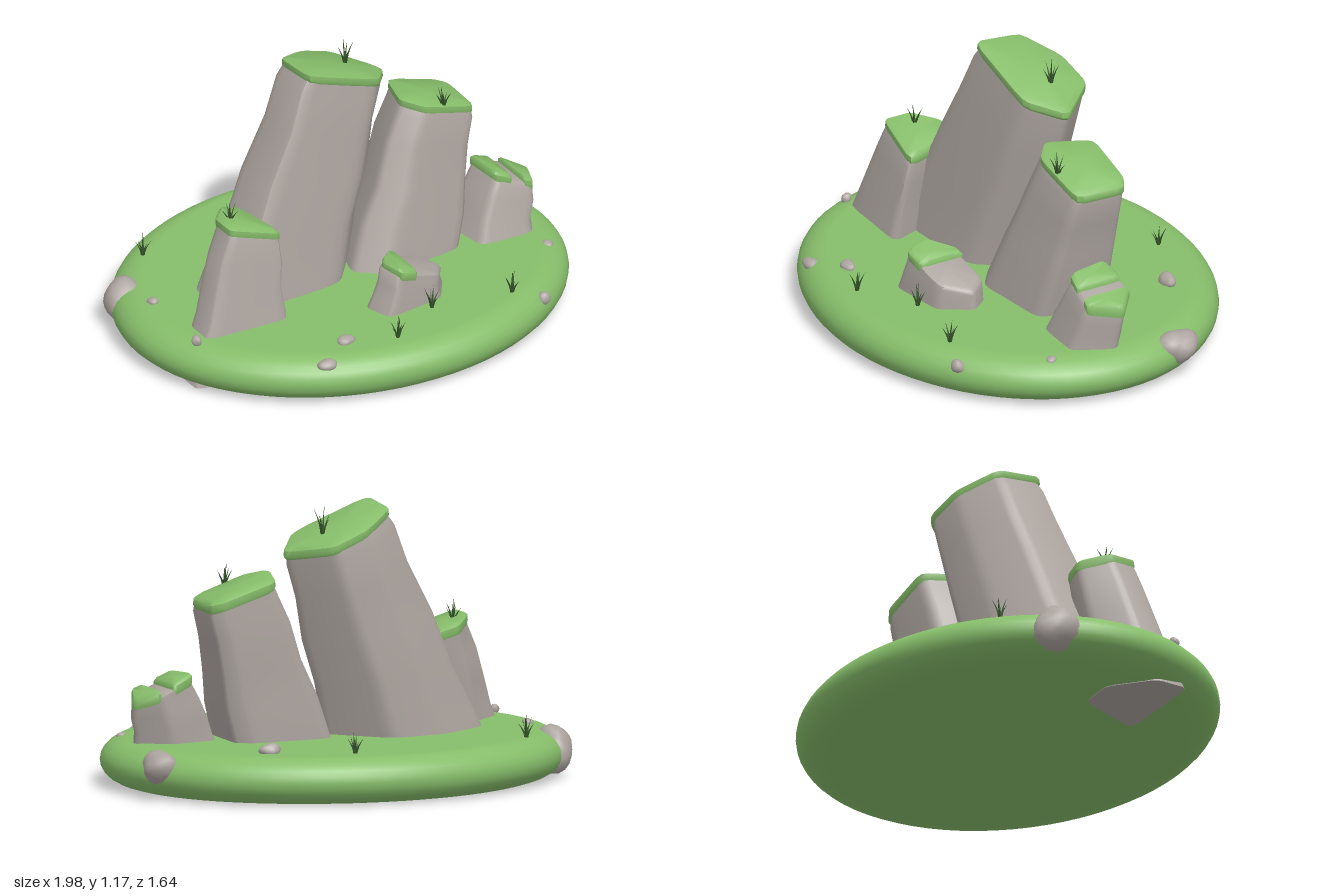
import * as THREE from 'three';
import { mergeVertices, mergeGeometries, toCreasedNormals } from 'three/addons/utils/BufferGeometryUtils.js';

const grass = new THREE.MeshStandardMaterial({ color: 0x86bd6a });
grass.name = 'grassGreen';
const stone = new THREE.MeshStandardMaterial({ color: 0xaca49f });
stone.name = 'stoneGrey';
const blade = new THREE.MeshStandardMaterial({ color: 0x35562a });
blade.name = 'bladeGreen';

const centerOf = (pts) => pts.reduce((s, p) => s.add(p), new THREE.Vector3()).divideScalar(pts.length);

// Replace every corner of a closed outline with a short curve
function roundOutline(points, cut, steps) {
  const n = points.length;
  return points.flatMap((p, i) => {
    const a = p.clone().lerp(points[(i + n - 1) % n], cut);
    const b = p.clone().lerp(points[(i + 1) % n], cut);
    return new THREE.QuadraticBezierCurve3(a, p, b).getPoints(steps);
  });
}

// Keep the part of an outline where side * (x - limit) is not negative
function clipOutline(points, limit, side) {
  return points.flatMap((p, i) => {
    const q = points[(i + 1) % points.length];
    const dp = side * (p.x - limit), dq = side * (q.x - limit);
    const kept = dp >= 0 ? [p.clone()] : [];
    if (dp * dq < 0) kept.push(p.clone().lerp(q, dp / (dp - dq)));
    return kept;
  });
}

// Skin closed rings (counter-clockwise from above, bottom to top) and close both ends
function loft(rings, crease) {
  const n = rings[0].length, last = (rings.length - 1) * n, end = rings.length * n;
  const points = [...rings.flat(), centerOf(rings[0]), centerOf(rings[rings.length - 1])];
  const idx = [];
  for (let i = 0; i < n; i++) {
    const j = (i + 1) % n;
    for (let k = 0; k < last; k += n) {
      idx.push(k + i, k + j, k + j + n, k + i, k + j + n, k + i + n);
    }
    idx.push(end, j, i, end + 1, last + i, last + j);
  }
  const g = new THREE.BufferGeometry().setFromPoints(points);
  g.setIndex(idx);
  return toCreasedNormals(g, crease);
}

// Leaning rock: the top outline is widened and shifted to give the foot
function rockGeometry(outline, foot, spread, baseY) {
  const top = roundOutline(outline, 0.16, 3);
  const mid = centerOf(top), corner = centerOf(outline);
  const base = roundOutline(outline.map((p) => new THREE.Vector3(
    foot[0] + (p.x - corner.x) * spread[0], baseY, foot[1] + (p.z - corner.z) * spread[1])), 0.16, 3);
  const rings = [0, 0.2, 0.4, 0.6, 0.8, 0.95].map((t, k) => base.map((p, i) => {
    const q = p.clone().lerp(top[i], t);
    const bulge = k ? 0.006 * Math.sin(k * 2.3 + q.x * 5) : 0;
    return q.add(new THREE.Vector3(bulge, 0, bulge * 0.6));
  }));
  rings.push(top.map((p) => p.clone().lerp(mid, 0.03)));
  rings.push(top.map((p) => p.clone().lerp(mid, 0.14).add(new THREE.Vector3(0, 0.006, 0))));
  return loft(rings, 0.7);
}

// Turf slab lying on the sloped top of a rock
function turfGeometry(outline) {
  const pts = roundOutline(outline, 0.15, 2), mid = centerOf(pts);
  const ring = ([scale, lift]) => pts.map((p) => p.clone().sub(mid).multiplyScalar(scale).add(mid)
    .add(new THREE.Vector3(0, lift, 0)));
  return loft([[0.98, -0.022], [1.02, -0.008], [1.01, 0.016], [0.88, 0.028]].map(ring), 0.8);
}

// Rounded, slightly lumpy pebble
function pebbleGeometry(rx, ry, rz, seed) {
  let g = new THREE.IcosahedronGeometry(1, 2);
  g.deleteAttribute('normal');
  g.deleteAttribute('uv');
  g = mergeVertices(g, 1e-3);
  const p = g.attributes.position, v = new THREE.Vector3();
  for (let i = 0; i < p.count; i++) {
    v.fromBufferAttribute(p, i);
    v.multiplyScalar(1 + 0.1 * Math.sin(3 * v.x + seed) + 0.1 * Math.sin(3.4 * v.z + 2 * v.y + seed * 2));
    p.setXYZ(i, v.x * rx, v.y * ry, v.z * rz);
  }
  g.computeVertexNormals();
  return g;
}

// Tuft of bent, tapering blades
function tuftGeometry(height, seed) {
  const blades = [];
  for (let i = 0; i < 6; i++) {
    const h = height * (i === 0 ? 1 : 0.62 + 0.12 * ((i * 2 + seed) % 3));
    const g = new THREE.ConeGeometry(0.0075, h, 4, 4).translate(0, h / 2, 0);
    const p = g.attributes.position, reach = i === 0 ? 0.01 : 0.036;
    for (let k = 0; k < p.count; k++) {
      const t = p.getY(k) / h;
      p.setX(k, p.getX(k) + reach * (0.4 * t + 0.6 * t * t));
    }
    g.rotateY(i * 1.2566 + seed);
    g.computeVertexNormals();
    blades.push(g);
  }
  return mergeGeometries(blades);
}

export function createModel() {
  const model = new THREE.Group();
  model.name = 'rockyOutcrop';
  const add = (name, geometry, material, x = 0, y = 0, z = 0) => {
    const m = new THREE.Mesh(geometry, material);
    m.name = name;
    m.position.set(x, y, z);
    model.add(m);
  };

  // Oval grassy mound with a rounded rim
  const rim = Array.from({ length: 13 }, (_, i) => {
    const a = (i / 12 - 0.5) * Math.PI;
    return new THREE.Vector2(0.85 + 0.14 * Math.cos(a), 0.1015 + 0.0985 * Math.sin(a));
  });
  const profile = [new THREE.Vector2(0, 0.003), ...rim, new THREE.Vector2(0, 0.2)];
  add('grassMound', new THREE.LatheGeometry(profile, 72).scale(1, 1, 0.83), grass);

  // Leaning rocks: top outline (x, z), top height and slopes, foot centre and spread
  const addRock = (name, top, [height, slopeX, slopeZ], foot, spread, caps = [[-1, 1]], baseY = 0.05) => {
    const outline = top.map(([x, z]) => new THREE.Vector3(x, height + slopeX * x + slopeZ * z, z));
    add(name, rockGeometry(outline, foot, spread, baseY), stone);
    // Each turf cap covers a range of x
    caps.forEach(([from, to]) =>
      add(name + 'Turf', turfGeometry(clipOutline(clipOutline(outline, from, 1), to, -1)), grass));
  };
  addRock('tallRock', [[0.17, 0.03], [0.28, -0.12], [0.13, -0.3], [-0.03, -0.28], [-0.18, -0.17], [-0.18, 0.05]],
    [1.075, -0.36, 0.1], [-0.36, -0.06], [1.6, 1.4]);
  addRock('middleRock', [[0.62, 0.05], [0.63, -0.17], [0.58, -0.2], [0.35, -0.2], [0.29, 0], [0.37, 0.07]],
    [0.96, -0.31, 0], [0.23, 0], [1.65, 1.5]);
  addRock('rightRock', [[0.85, 0.14], [0.91, 0], [0.81, -0.09], [0.66, -0.06], [0.68, 0.12]],
    [0.74, -0.42, 0], [0.67, 0.08], [1.65, 1.4], [[0, 0.76], [0.81, 1]]);
  addRock('leftRock', [[-0.41, 0.22], [-0.47, -0.02], [-0.56, -0.03], [-0.65, 0.08], [-0.65, 0.2]],
    [0.42, -0.31, 0], [-0.68, 0.17], [1.9, 1.25], [[-1, 0]], 0);
  addRock('frontRock', [[0.2, 0.46], [0.28, 0.34], [0.22, 0.26], [0.06, 0.28], [-0.03, 0.38], [0, 0.49]],
    [0.37, -0.35, 0], [0.07, 0.37], [1.5, 1.25], [[-1, 0.09]]);

  // Scattered pebbles: x, y, z, then radii
  const pebbles = [
    [-0.86, 0.11, -0.32, 0.08, 0.1, 0.11], [0.905, 0.14, -0.26, 0.08, 0.065, 0.085],
    [0.5, 0.21, -0.47, 0.045, 0.03, 0.035], [-0.83, 0.2, -0.12, 0.022, 0.02, 0.025],
    [0.82, 0.188, 0.3, 0.025, 0.015, 0.025], [0.61, 0.15, 0.62, 0.035, 0.03, 0.025],
    [-0.32, 0.205, 0.58, 0.035, 0.022, 0.032], [-0.47, 0.175, 0.665, 0.042, 0.025, 0.035],
    [-0.85, 0.205, 0.26, 0.022, 0.022, 0.022],
  ];
  pebbles.forEach(([x, y, z, ...r], i) => add('pebble', pebbleGeometry(...r, i * 1.7), stone, x, y, z));

  // Grass tufts: x, y, z, height
  const tufts = [[0.18, 0.19, -0.62, 0.1], [-0.66, 0.19, -0.48, 0.11], [0.11, 1.03, -0.14, 0.14],
    [0.47, 0.815, 0.05, 0.11], [-0.585, 0.6, 0.09, 0.11], [0.13, 0.19, 0.52, 0.12],
    [-0.12, 0.19, 0.66, 0.11], [0.48, 0.19, 0.58, 0.11]];
  tufts.forEach(([x, y, z, h], i) => add('grassTuft', tuftGeometry(h, i), blade, x, y, z));

  return model;
}
